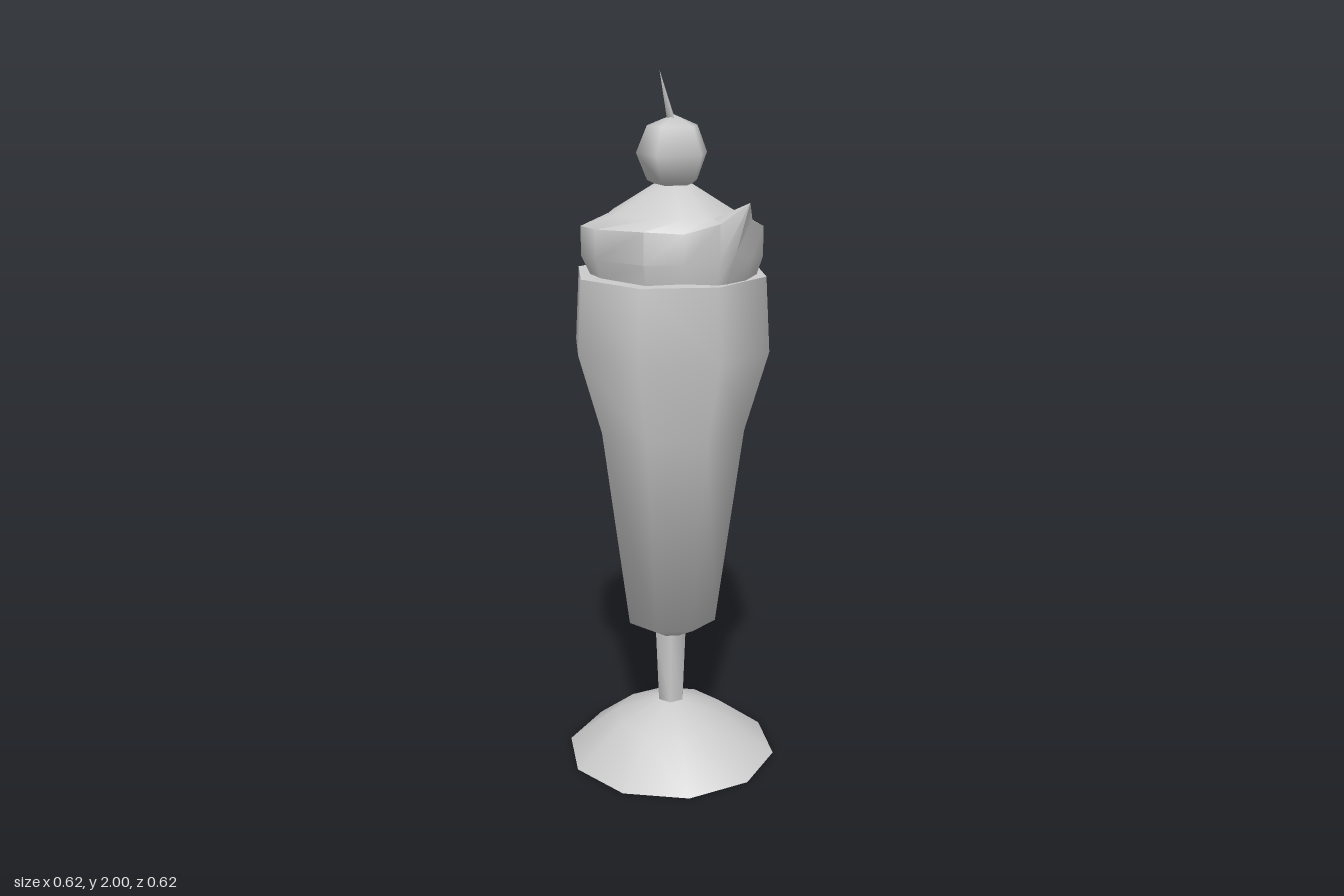
import * as THREE from 'three';
import { toCreasedNormals } from 'three/addons/utils/BufferGeometryUtils.js';

const AXIS_Z = -0.018; // the glass stands slightly behind the centre

const material = new THREE.MeshStandardMaterial({ color: 0xcccccc });

function addPart(group, name, geometry, x = 0, y = 0, z = 0) {
  const mesh = new THREE.Mesh(geometry, material);
  mesh.name = name;
  mesh.position.set(x, y, z);
  group.add(mesh);
  return mesh;
}

// Turned part from [radius, height] pairs, with a corner on the x axis
function turned(profile, sides) {
  const points = profile.map(([r, y]) => new THREE.Vector2(r, y));
  return toCreasedNormals(new THREE.LatheGeometry(points, sides, Math.PI / 2), 1.1);
}

// Skin over closed rings listed bottom to top, closed by an apex
function loft(rings, apex) {
  const n = rings[0].length;
  const index = [];
  for (let i = 0; i < rings.length; i++) {
    for (let j = 0; j < n; j++) {
      const a = i * n + j;
      const b = i * n + (j + 1) % n;
      if (i === rings.length - 1) index.push(a, b, rings.length * n);
      else index.push(a, b, b + n, a, b + n, a + n);
    }
  }
  const geometry = new THREE.BufferGeometry();
  geometry.setAttribute('position', new THREE.Float32BufferAttribute([...rings.flat(2), ...apex], 3));
  geometry.setIndex(index);
  return toCreasedNormals(geometry, 1.0);
}

// Whipped cream: every ring follows the wavy lip with its two peaks
function creamGeometry() {
  const lip = [
    [0.245, 1.57, 0.015], [0.25, 1.58, -0.09], [0.155, 1.57, -0.175],
    [0.14, 1.62, -0.265], [0.105, 1.66, -0.31], [0.06, 1.6, -0.285],
    [0, 1.56, -0.24], [-0.15, 1.56, -0.17], [-0.237, 1.59, -0.09],
    [-0.23, 1.59, -0.01], [-0.17, 1.6, 0.155], [-0.065, 1.59, 0.18],
    [0.01, 1.62, 0.24], [0.055, 1.68, 0.312], [0.12, 1.62, 0.215],
    [0.2, 1.59, 0.14],
  ];
  const ring = (radius, height, cx = 0, cz = 0) => lip.map(([x, y, z]) => {
    const r = Math.hypot(x, z);
    const k = radius(r) / r;
    return [cx + x * k, height(y), cz + z * k];
  });
  return loft([
    ring(r => Math.min(r * 0.93, 0.225), () => 1.45),
    ring(r => Math.min(r, 0.265), y => 1.45 + (y - 1.45) * 0.42),
    lip,
    ring(r => Math.min(r * 0.85, 0.175), () => 1.625, -0.005, 0.005),
    ring(() => 0.055, () => 1.7, -0.01, 0.015),
  ], [-0.01, 1.705, 0.015]);
}

export function createModel() {
  const group = new THREE.Group();
  group.name = 'sundae';

  // Footed glass
  addPart(group, 'foot', turned(
    [[0, 0], [0.31, 0], [0.165, 0.113], [0.04, 0.165], [0, 0.165]], 10), 0, 0, AXIS_Z);
  addPart(group, 'stem', turned([[0.04, 0.155], [0.05, 0.39]], 6), 0, 0, AXIS_Z);
  addPart(group, 'bowl', turned(
    [[0, 0.385], [0.05, 0.385], [0.135, 0.433], [0.215, 1.02], [0.283, 1.25], [0.271, 1.458], [0, 1.458]],
    8), 0, 0, AXIS_Z);

  // Topping
  addPart(group, 'whippedCream', creamGeometry());

  // Cherry with a thin tapering stalk
  const cherry = new THREE.SphereGeometry(0.102, 5, 4);
  cherry.rotateY(Math.PI);
  addPart(group, 'cherry', cherry, -0.01, 1.782, 0.018);

  const from = new THREE.Vector3(-0.014, 1.865, 0.02);
  const to = new THREE.Vector3(-0.062, 2, 0.038);
  const dir = to.clone().sub(from);
  const middle = from.clone().add(to).multiplyScalar(0.5);
  const stalk = addPart(group, 'cherryStalk', new THREE.ConeGeometry(0.014, dir.length(), 3), ...middle.toArray());
  stalk.quaternion.setFromUnitVectors(new THREE.Vector3(0, 1, 0), dir.normalize());

  return group;
}
